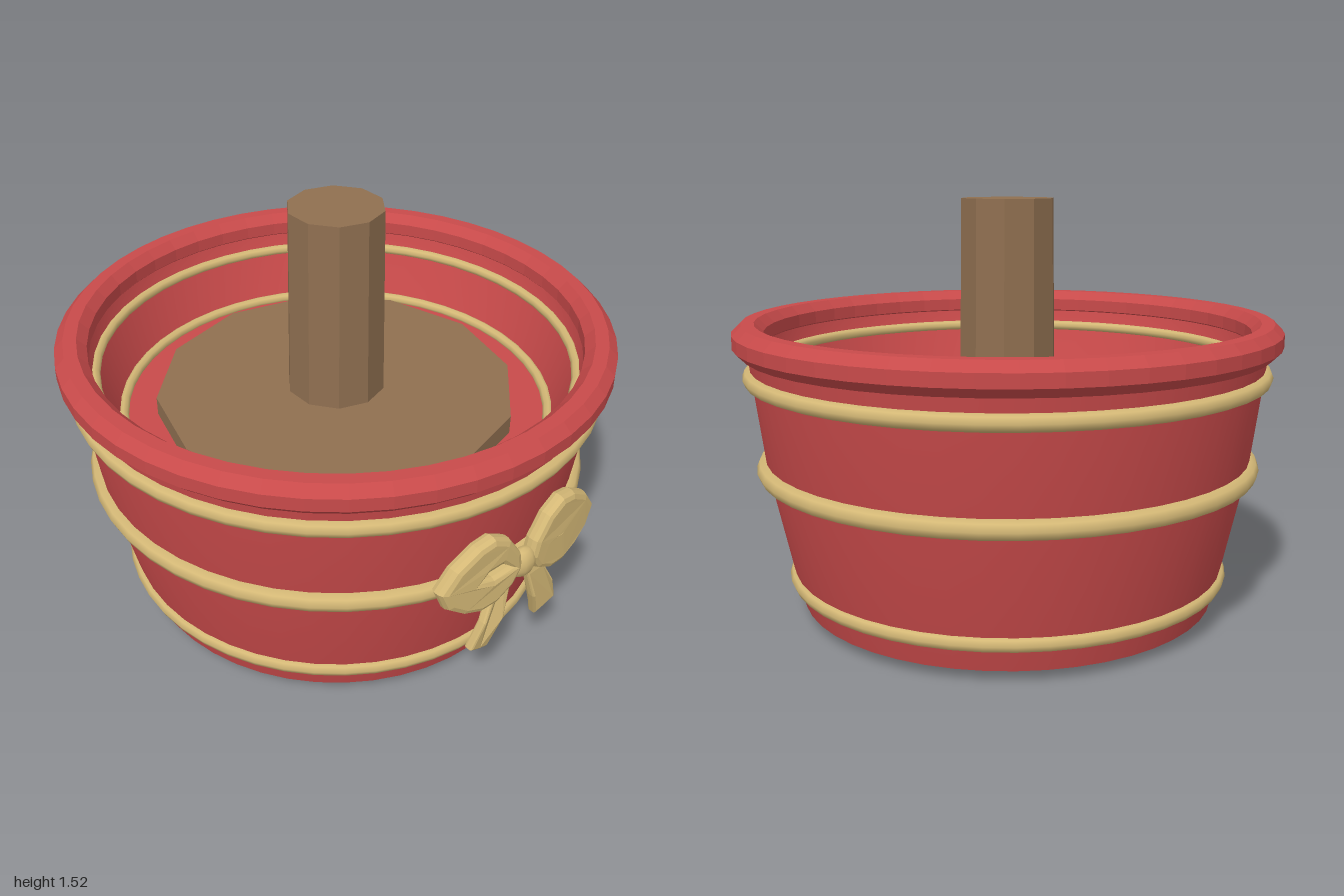
import * as THREE from 'three';

const material = (name, color) => {
  const m = new THREE.MeshStandardMaterial({ color });
  m.name = name;
  return m;
};

// Split the vertices so every face gets its own normal
const flat = (geometry) => {
  const g = geometry.index ? geometry.toNonIndexed() : geometry;
  g.computeVertexNormals();
  return g;
};

const lathe = (points, segments = 48) =>
  new THREE.LatheGeometry(points.map(([r, y]) => new THREE.Vector2(r, y)), segments);

export function createModel() {
  const red = material('red', 0xc84a4a);
  const gold = material('gold', 0xd4b876);
  const brown = material('brown', 0x8f6f50);

  const model = new THREE.Group();
  model.name = 'treePot';
  const add = (name, geometry, mat, parent = model) => {
    const mesh = new THREE.Mesh(geometry, mat);
    mesh.name = name;
    parent.add(mesh);
    return mesh;
  };

  // Pot shell: each stretch is its own surface so the edges stay sharp
  add('potBase', lathe([[0, 0], [0.775, 0.04]]), red);
  add('potWall', lathe([[0.775, 0.04], [0.815, 0.2], [0.893, 0.56], [0.932, 0.86], [0.95, 1.0]]), red);
  add('potInnerWall', lathe([[0.895, 1.02], [0.875, 0.94], [0.79, 0.74]]), red);
  add('potFloor', lathe([[0.79, 0.74], [0, 0.74]]), red);

  // Rolled rim with an eight-sided section
  const rim = [];
  for (let i = 0; i <= 8; i++) {
    const a = ((i - 0.5) / 8) * Math.PI * 2;
    rim.push([0.943 + 0.061 * Math.cos(a), 1.031 + 0.061 * Math.sin(a)]);
  }
  add('potRim', flat(lathe(rim)), red);

  // Gold hoops outside and inside: radius, height, thickness
  const hoops = [
    ['upperHoop', 0.938, 0.896, 0.03],
    ['middleHoop', 0.896, 0.555, 0.035],
    ['lowerHoop', 0.798, 0.143, 0.028],
    ['innerUpperHoop', 0.872, 0.94, 0.02],
    ['innerLowerHoop', 0.79, 0.75, 0.02],
  ];
  for (const [name, radius, y, tube] of hoops) {
    const hoop = add(name, new THREE.TorusGeometry(radius, tube, 8, 48), gold);
    hoop.rotation.x = Math.PI / 2;
    hoop.position.y = y;
  }

  // Soil and trunk
  add('soil', flat(new THREE.CylinderGeometry(0.665, 0.665, 0.08, 12)), brown).position.y = 0.77;
  add('trunk', flat(new THREE.CylinderGeometry(0.172, 0.182, 0.74, 10)), brown).position.y = 1.15;

  // Bow: bevelled ribbon shapes, mirrored, with a rule that bends them
  const bow = new THREE.Group();
  bow.name = 'bow';
  model.add(bow);
  const ribbon = (side, outline, hole, bevel, bend) => {
    const path = (pts) => pts.map(([x, y]) => new THREE.Vector2(side * x, y));
    const shape = new THREE.Shape(path(outline));
    if (hole) shape.holes.push(new THREE.Path(path(hole)));
    const g = new THREE.ExtrudeGeometry(shape, {
      depth: 0.018, bevelThickness: bevel, bevelSize: bevel, bevelOffset: -bevel, bevelSegments: 2,
    });
    const p = g.attributes.position;
    for (let i = 0; i < p.count; i++) p.setZ(i, p.getZ(i) + bend(p.getX(i), p.getY(i)));
    return flat(g);
  };
  const loop = [[0.02, 0.59], [0.035, 0.66], [0.09, 0.74], [0.16, 0.778], [0.225, 0.765], [0.31, 0.71],
    [0.365, 0.635], [0.335, 0.56], [0.27, 0.51], [0.2, 0.485], [0.13, 0.49], [0.06, 0.53]];
  const slit = [[0.07, 0.61], [0.12, 0.648], [0.175, 0.643], [0.205, 0.617], [0.15, 0.604]];
  const tail = [[0.015, 0.56], [0.045, 0.49], [0.075, 0.38], [0.12, 0.26], [0.165, 0.275],
    [0.21, 0.3], [0.17, 0.41], [0.125, 0.5], [0.07, 0.56]];
  for (const [word, side] of [['left', 1], ['right', -1]]) {
    add(word + 'BowLoop', ribbon(side, loop, slit, 0.022, (x) => 0.95 - 0.25 * x * x), gold, bow);
    add(word + 'BowTail', ribbon(side, tail, null, 0.008,
      (x, y) => 0.933 + 0.014 * Math.sin((y - 0.3) * 16)), gold, bow);
  }
  const knot = add('bowKnot', new THREE.SphereGeometry(0.058, 10, 7), gold, bow);
  knot.position.set(0, 0.582, 0.96);
  knot.scale.z = 0.65;

  return model;
}
